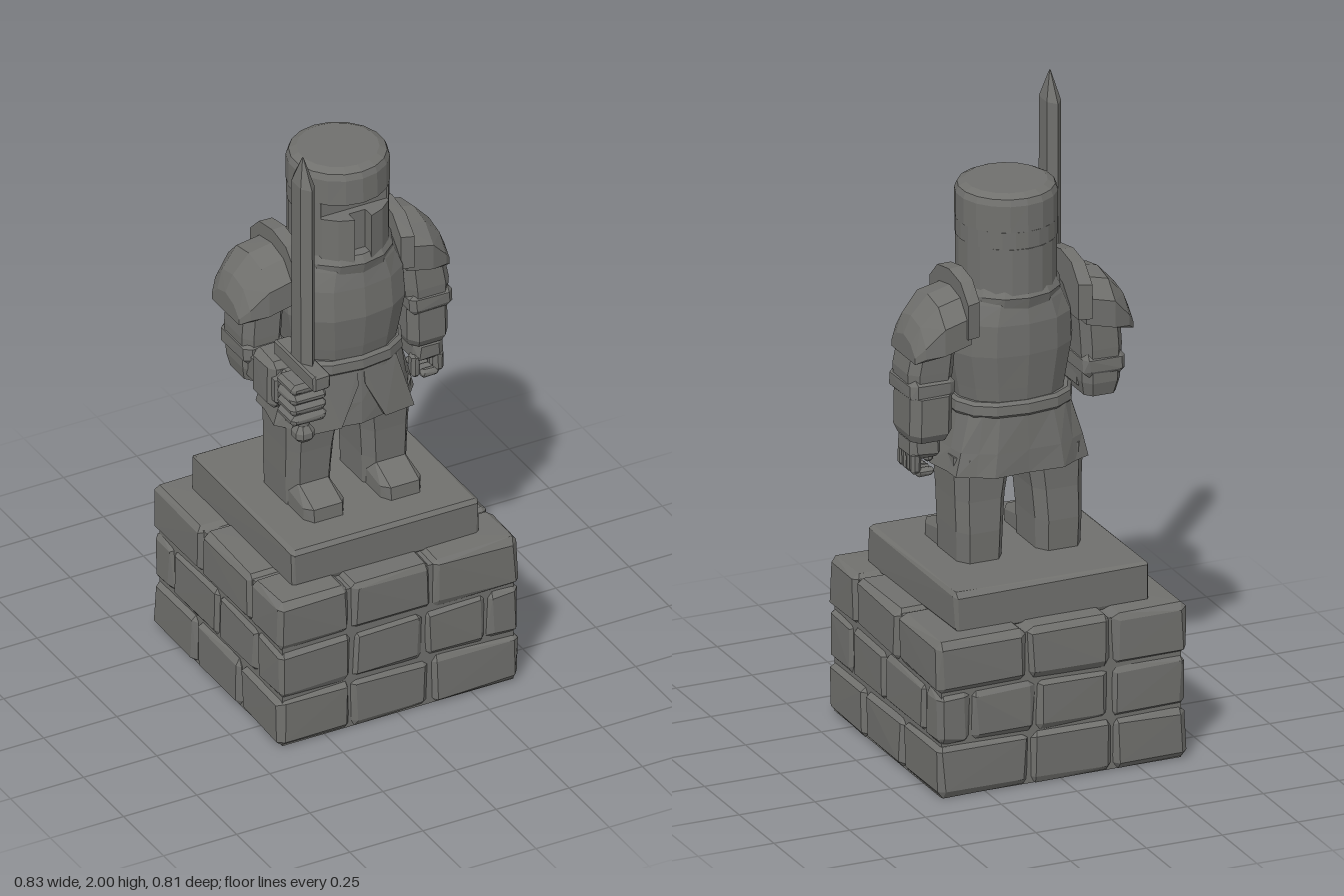
import * as THREE from 'three';
import { ConvexGeometry } from 'three/addons/geometries/ConvexGeometry.js';

const stone = new THREE.MeshStandardMaterial({ color: 0x70706d });
stone.name = 'grey stone';

let seed = 7;
const rand = () => (seed = (seed * 16807) % 2147483647) / 2147483647;

function add(parent, name, geometry) {
  const mesh = new THREE.Mesh(geometry, stone);
  mesh.name = name;
  parent.add(mesh);
  return mesh;
}

function group(parent, name) {
  const g = new THREE.Group();
  g.name = name;
  parent.add(g);
  return g;
}

const hull = (pts) => new ConvexGeometry(pts.map((p) => new THREE.Vector3(...p)));

// Roughly chamfered stone block; rough pushes the corners inwards a little
function chunk([x0, x1], [y0, y1], [z0, z1], bevel = 0.015, rough = 0.008) {
  const pts = [];
  const lo = [x0, y0, z0], hi = [x1, y1, z1];
  for (let corner = 0; corner < 8; corner++) {
    for (let axis = 0; axis < 3; axis++) {
      pts.push([0, 1, 2].map((k) => {
        const up = corner & (1 << k);
        const inset = k === axis ? rand() * rough * 0.4 : bevel + rand() * rough;
        return up ? hi[k] - inset : lo[k] + inset;
      }));
    }
  }
  return hull(pts);
}

// Faceted body through horizontal rings [y, centreX, centreZ, radiusX, radiusZ, fold]
function loft(rings, n = 8, e = 0.5) {
  const pt = ([y, cx, cz, rx, rz, fold = 0], i) => {
    const a = ((i % n) + 0.5) / n * Math.PI * 2;
    const c = Math.cos(a), s = Math.sin(a);
    const f = 1 - (i % 2) * fold;
    return [cx + Math.sign(c) * Math.abs(c) ** e * rx * f, y, cz + Math.sign(s) * Math.abs(s) ** e * rz * f];
  };
  const v = [];
  const tri = (...p) => p.forEach((q) => v.push(...q));
  const first = rings[0], last = rings[rings.length - 1];
  for (let i = 0; i < n; i++) {
    for (let r = 0; r < rings.length - 1; r++) {
      const a = pt(rings[r], i), b = pt(rings[r + 1], i);
      const c = pt(rings[r], i + 1), d = pt(rings[r + 1], i + 1);
      tri(a, b, c);
      tri(b, d, c);
    }
    tri([first[1], first[0], first[2]], pt(first, i), pt(first, i + 1));
    tri([last[1], last[0], last[2]], pt(last, i + 1), pt(last, i));
  }
  const g = new THREE.BufferGeometry();
  g.setAttribute('position', new THREE.Float32BufferAttribute(v, 3));
  g.computeVertexNormals();
  return g;
}

// Helmet layer: an oval with a notch cut into its front
function notchedOval(y0, y1, rx, rz, halfGap, notchZ) {
  const shape = new THREE.Shape();
  const gap = Math.asin(halfGap / rx), n = 18;
  for (let i = 0; i <= n; i++) {
    const a = -Math.PI / 2 + gap + (i / n) * (Math.PI * 2 - gap * 2);
    shape[i ? 'lineTo' : 'moveTo'](Math.cos(a) * rx, Math.sin(a) * rz);
  }
  shape.lineTo(-halfGap, -notchZ);
  shape.lineTo(halfGap, -notchZ);
  const g = new THREE.ExtrudeGeometry(shape, { depth: y1 - y0, bevelEnabled: false });
  return g.rotateX(-Math.PI / 2).translate(0.005, y0, 0);
}

function buildPedestal(root) {
  const pedestal = group(root, 'pedestal');
  add(pedestal, 'pedestalCore', new THREE.BoxGeometry(0.79, 0.49, 0.77).translate(0, 0.247, 0));
  const rows = [
    { y: [0, 0.168], x: [-0.413, -0.165, 0.105, 0.413], z: [-0.403, -0.135, 0.14, 0.4] },
    { y: [0.17, 0.337], x: [-0.41, -0.16, 0.085, 0.3, 0.41], z: [-0.4, -0.285, 0, 0.24, 0.4] },
    { y: [0.339, 0.507], x: [-0.413, -0.165, 0.115, 0.413], z: [-0.403, -0.1, 0.205, 0.4] },
  ];
  for (const { y, x, z } of rows) {
    for (let i = 0; i < x.length - 1; i++) {
      for (let k = 0; k < z.length - 1; k++) {
        const edge = i === 0 || k === 0 || i === x.length - 2 || k === z.length - 2;
        if (edge) add(pedestal, 'brick', chunk([x[i], x[i + 1]], y, [z[k], z[k + 1]], 0.014, 0.012));
      }
    }
  }
  add(pedestal, 'topSlab', chunk([-0.322, 0.322], [0.49, 0.626], [-0.325, 0.315], 0.008, 0.012));
}

function buildLeg(root, s) {
  const leg = group(root, s > 0 ? 'leftLeg' : 'rightLeg');
  add(leg, 'shin', loft([
    [0.62, s * 0.13, -0.01, 0.077, 0.11], [0.72, s * 0.13, -0.01, 0.08, 0.115],
    [0.82, s * 0.127, -0.005, 0.085, 0.115], [0.96, s * 0.118, 0, 0.1, 0.125],
  ]));
  const foot = [];
  for (const x of [0.063, 0.2]) {
    const inX = x < 0.1 ? 0.02 : -0.02;
    foot.push([s * x, 0.62, -0.08], [s * x, 0.62, 0.16], [s * (x + inX), 0.62, 0.193],
      [s * (x + inX), 0.665, 0.19], [s * x, 0.66, 0.16], [s * (x + inX), 0.69, 0.12],
      [s * (x + inX), 0.715, 0.08], [s * x, 0.7, -0.08]);
  }
  add(leg, 'foot', hull(foot));
}

function buildShoulder(root, s) {
  const shoulder = group(root, s > 0 ? 'leftShoulder' : 'rightShoulder');
  const arch = (x, top, bottom, half, cz) => [
    [x, bottom, cz - half], [x, top - 0.07, cz - half], [x, top - 0.015, cz - half * 0.6], [x, top, cz],
    [x, top - 0.015, cz + half * 0.6], [x, top - 0.07, cz + half], [x, bottom, cz + half],
  ].map(([a, y, z]) => [s * a, y, z]);
  add(shoulder, 'shoulderPlate', hull([
    ...arch(0.19, 1.505, 1.35, 0.125, -0.03), ...arch(0.28, 1.485, 1.33, 0.13, -0.035),
    ...arch(0.335, 1.425, 1.32, 0.11, -0.035), ...arch(0.36, 1.37, 1.32, 0.085, -0.035),
  ]));
  add(shoulder, 'neckGuard', hull([
    ...arch(0.163, 1.553, 1.37, 0.13, -0.025), ...arch(0.205, 1.55, 1.37, 0.14, -0.025),
  ]));
}

function buildLeftArm(root) {
  const arm = group(root, 'leftArm');
  add(arm, 'upperArm', loft([
    [1.17, 0.29, -0.015, 0.07, 0.085], [1.25, 0.287, -0.015, 0.078, 0.09], [1.38, 0.27, -0.02, 0.07, 0.09],
  ]));
  add(arm, 'elbowPlate', chunk([0.215, 0.365], [1.16, 1.235], [-0.11, 0.075], 0.015));
  add(arm, 'forearm', loft([
    [1.035, 0.295, -0.03, 0.062, 0.08], [1.06, 0.295, -0.03, 0.072, 0.095], [1.18, 0.293, -0.03, 0.072, 0.095],
  ]));
  add(arm, 'palm', chunk([0.245, 0.35], [0.965, 1.045], [-0.075, 0.045], 0.015));
  for (let i = 0; i < 4; i++) {
    const z = -0.072 + i * 0.028;
    add(arm, 'finger', chunk([0.315, 0.348], [0.92, 0.99], [z, z + 0.03], 0.008, 0.004));
    add(arm, 'fingertip', chunk([0.27, 0.332], [0.908, 0.936], [z, z + 0.03], 0.008, 0.004));
  }
  add(arm, 'thumb', chunk([0.238, 0.268], [0.92, 1.0], [0.005, 0.042], 0.008, 0.004));
}

function buildRightArm(root) {
  const arm = group(root, 'rightArm');
  add(arm, 'upperArm', loft([
    [1.085, -0.275, -0.02, 0.055, 0.07], [1.13, -0.275, -0.02, 0.065, 0.085],
    [1.24, -0.275, -0.02, 0.07, 0.09], [1.38, -0.265, -0.02, 0.07, 0.09],
  ]));
  add(arm, 'elbowPlate', chunk([-0.345, -0.205], [1.15, 1.23], [-0.11, 0.07]));
  add(arm, 'forearm', chunk([-0.33, -0.21], [1.08, 1.215], [-0.06, 0.24], 0.025));
  add(arm, 'cuff', chunk([-0.338, -0.205], [1.07, 1.235], [0.07, 0.21], 0.02));
  add(arm, 'palm', chunk([-0.325, -0.21], [1.085, 1.225], [0.2, 0.32], 0.02));
  for (let i = 0; i < 4; i++) {
    const y = 1.085 + i * 0.036;
    add(arm, 'finger', chunk([-0.338, -0.215], [y, y + 0.038], [0.235, 0.345], 0.012, 0.004));
  }
  add(arm, 'thumb', chunk([-0.235, -0.198], [1.17, 1.215], [0.22, 0.325], 0.01));
}

function buildSword(root) {
  const sword = group(root, 'sword');
  add(sword, 'blade', loft([
    [1.28, -0.27, 0.285, 0.027, 0.06], [1.91, -0.27, 0.285, 0.027, 0.058], [2.0, -0.27, 0.285, 0.002, 0.003],
  ], 6, 1).translate(0, 0, 0));
  add(sword, 'crossGuard', chunk([-0.3, -0.24], [1.238, 1.292], [0.155, 0.408], 0.005, 0.004));
  add(sword, 'grip', new THREE.CylinderGeometry(0.02, 0.02, 0.22, 8).toNonIndexed().translate(-0.27, 1.14, 0.285));
  add(sword, 'pommel', loft([
    [1.0, -0.27, 0.285, 0.02, 0.02], [1.015, -0.27, 0.285, 0.034, 0.034],
    [1.035, -0.27, 0.285, 0.034, 0.034], [1.055, -0.27, 0.285, 0.02, 0.02],
  ], 8, 0.8));
}

function buildBody(root) {
  const body = group(root, 'body');
  add(body, 'breastplate', loft([
    [1.12, 0.005, 0, 0.172, 0.148], [1.18, 0.005, 0.003, 0.182, 0.158], [1.29, 0.005, 0.005, 0.203, 0.172],
    [1.39, 0.005, 0, 0.198, 0.168], [1.45, 0.005, 0, 0.17, 0.158], [1.49, 0.005, 0, 0.15, 0.145],
  ], 14, 0.85));
  add(body, 'collar', loft([
    [1.43, 0.005, 0, 0.165, 0.158], [1.475, 0.005, 0, 0.163, 0.17], [1.5, 0.005, 0, 0.15, 0.155],
  ], 14, 0.95));
  add(body, 'belt', loft([
    [1.092, 0.003, 0, 0.192, 0.157], [1.1, 0.003, 0, 0.197, 0.164],
    [1.13, 0.003, 0, 0.195, 0.162], [1.14, 0.003, 0, 0.185, 0.152],
  ], 14, 0.8));
  // Flared skirt with shallow folds and two overlapping front panels
  add(body, 'skirt', loft([
    [0.905, 0, -0.003, 0.242, 0.165, 0.08], [0.98, 0, -0.002, 0.222, 0.162, 0.05], [1.1, 0.003, 0, 0.185, 0.152],
  ], 18, 0.7));
  for (const s of [-1, 1]) {
    add(body, 'skirtPanel', hull([
      [0.01, 1.1, 0.153], [0.13, 1.1, 0.138], [0.075, 0.915, 0.172], [0.185, 0.908, 0.15],
      [0.01, 1.1, 0.1], [0.13, 1.1, 0.1], [0.075, 0.915, 0.13], [0.185, 0.908, 0.11], [0.012, 1.04, 0.16],
    ].map(([x, y, z]) => [s * x, y, z])));
  }
}

function buildHelmet(root) {
  const helmet = group(root, 'helmet');
  add(helmet, 'faceGuard', notchedOval(1.48, 1.632, 0.152, 0.163, 0.028, 0.12));
  add(helmet, 'eyeSlit', notchedOval(1.632, 1.686, 0.154, 0.16, 0.115, 0.095));
  add(helmet, 'crown', loft([
    [1.686, 0.005, 0, 0.156, 0.16], [1.77, 0.005, 0, 0.156, 0.158],
    [1.79, 0.005, 0, 0.148, 0.15], [1.802, 0.005, 0, 0.125, 0.125],
  ], 18, 1));
}

export function createModel() {
  seed = 7;
  const root = new THREE.Group();
  root.name = 'knightStatue';
  buildPedestal(root);
  for (const s of [-1, 1]) {
    buildLeg(root, s);
    buildShoulder(root, s);
  }
  buildBody(root);
  buildHelmet(root);
  buildLeftArm(root);
  buildRightArm(root);
  buildSword(root);
  return root;
}
